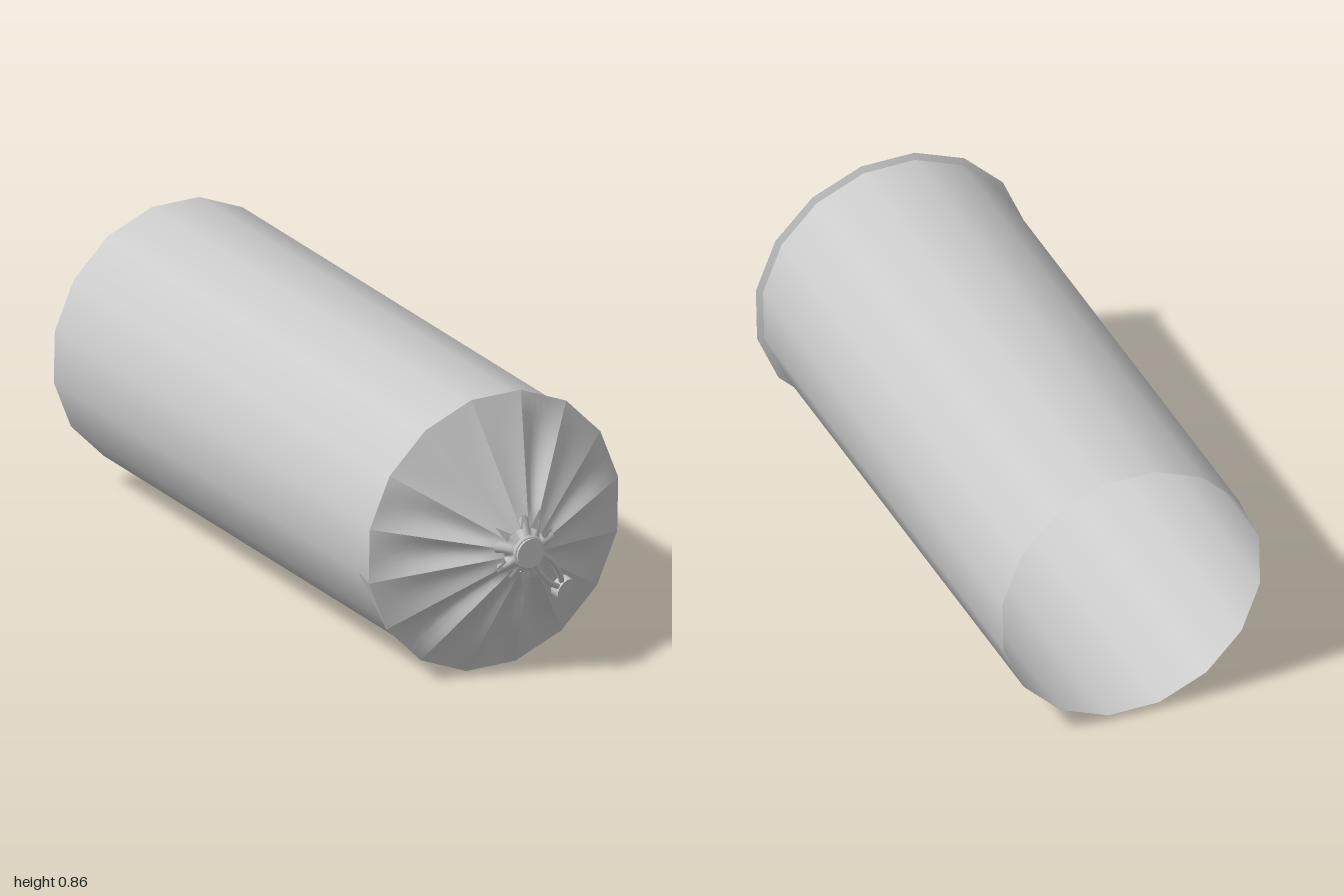
import * as THREE from 'three';
import { ParametricGeometry } from 'three/addons/geometries/ParametricGeometry.js';

const CY = 0.433, SIDES = 16, STEP = (Math.PI * 2) / SIDES, PHASE = THREE.MathUtils.degToRad(10);
const TUBE_R = 0.418, RIM_R = 0.437, RIM_Z = 0.79, NECK_R = 0.07, NECK_Z = 0.962;

// point at an angle around the bag's axis
const polar = (a, r, z) => new THREE.Vector3(Math.cos(a) * r, CY + Math.sin(a) * r, z);
const corner = (i, r, z) => polar(PHASE + i * STEP, r, z);

export function createModel() {
  const group = new THREE.Group();
  const material = new THREE.MeshStandardMaterial({ color: 0xcccccc, side: THREE.DoubleSide });
  const add = (name, geometry, parent = group) => {
    const mesh = new THREE.Mesh(geometry, material);
    mesh.name = name;
    parent.add(mesh);
    return mesh;
  };
  // surface of revolution about z through [radius, z] at v = 0 and v = 1
  const band = (r0, z0, r1, z1) => new ParametricGeometry((u, v, p) => {
    p.copy(polar(PHASE + u * Math.PI * 2, r0 + (r1 - r0) * v, z0 + (z1 - z0) * v));
  }, SIDES, 1);

  // long open-backed body and the lip where the gathered end begins
  add('bodyTube', band(TUBE_R, -1, TUBE_R, RIM_Z));
  add('rimLip', band(TUBE_R, RIM_Z - 0.01, RIM_R, RIM_Z));

  // gathered front: sixteen panels, each sagging between its straight seams
  const pleats = new THREE.Group();
  pleats.name = 'gatheredFront';
  group.add(pleats);
  const sag = [0.026, 0.006, 0.024, 0.004, 0.004, 0.006, 0.024, 0.02, 0.008, 0.026, 0.012, 0.024, 0.02, 0.004, 0.014, 0.01];
  for (let i = 0; i < SIDES; i++) {
    const a = corner(i, RIM_R, RIM_Z), b = corner(i + 1, RIM_R, RIM_Z);
    const c = corner(i, NECK_R, NECK_Z), d = corner(i + 1, NECK_R, NECK_Z);
    const outer = new THREE.Vector3(), inner = new THREE.Vector3();
    add('pleatPanel', new ParametricGeometry((u, v, p) => {
      outer.lerpVectors(a, b, u);
      inner.lerpVectors(c, d, u);
      p.lerpVectors(outer, inner, v);
      p.z -= sag[i] * Math.sin(Math.PI * u) * Math.sin(Math.PI * v);
    }, 6, 6), pleats);
  }

  // loose folds of cloth behind the rim
  const flap = (name, points) => {
    const g = new THREE.BufferGeometry().setFromPoints(points);
    g.computeVertexNormals();
    add(name, g);
  };
  const tip = polar(-1.5, TUBE_R, 0.15), fold = polar(-1.1, TUBE_R, 0.5);
  const [r0, r1, r2] = [13, 12, 11].map((i) => corner(i, RIM_R, RIM_Z));
  flap('bottomFold', [r0, fold, r1, fold, tip, r1, r1, tip, r2]);
  flap('sideFold', [corner(8, RIM_R, RIM_Z), corner(8, TUBE_R, 0.7), corner(9, RIM_R, RIM_Z)]);

  // ruffled cloth bunched at the neck
  add('neckRuffle', new ParametricGeometry((u, v, p) => {
    const a = u * Math.PI * 2;
    const wave = Math.sin(a * 9) * 0.012 + Math.sin(a * 5 + 1) * 0.008;
    const r = 0.09 - 0.05 * v + wave * (1 - v);
    p.copy(polar(a, r, 0.95 + 0.032 * v + wave * 0.3 * (1 - v)));
  }, 54, 3));
  // small pointed folds standing round the neck
  [0.4, 1.1, 1.6, 2.4, 3.6, 4.7, 5.4].forEach((a, i) => {
    const reach = 0.11 + 0.02 * (i % 2);
    flap('neckPoint', [polar(a - 0.2, 0.07, 0.966), polar(a, reach, 0.956), polar(a + 0.2, 0.07, 0.966)]);
  });

  // knot button over the neck
  const knot = add('knot', new THREE.CylinderGeometry(0.046, 0.04, 0.03, 16));
  knot.rotation.x = Math.PI / 2;
  knot.position.set(0, CY, 0.985);
  const cordLoop = add('cordLoop', new THREE.TorusGeometry(0.046, 0.006, 6, 20));
  cordLoop.position.set(0, CY, 0.985);

  // twin drawstrings running down to a toggle
  const toggleAt = new THREE.Vector3(0.18, 0.247, 0.885);
  for (const s of [-1, 1]) {
    const path = new THREE.CatmullRomCurve3([
      new THREE.Vector3(0.03 + s * 0.012, 0.41 + s * 0.012, 0.98),
      new THREE.Vector3(0.085 + s * 0.018, 0.35 + s * 0.018, 0.952),
      new THREE.Vector3(0.14 + s * 0.012, 0.29 + s * 0.012, 0.915),
      toggleAt,
    ]);
    add('drawstring', new THREE.TubeGeometry(path, 14, 0.009, 6));
  }
  const toggle = add('toggle', new THREE.CylinderGeometry(0.036, 0.036, 0.03, 14));
  toggle.position.copy(toggleAt);
  toggle.quaternion.setFromUnitVectors(new THREE.Vector3(0, 1, 0), new THREE.Vector3(0.25, -0.25, 0.9).normalize());

  return group;
}
